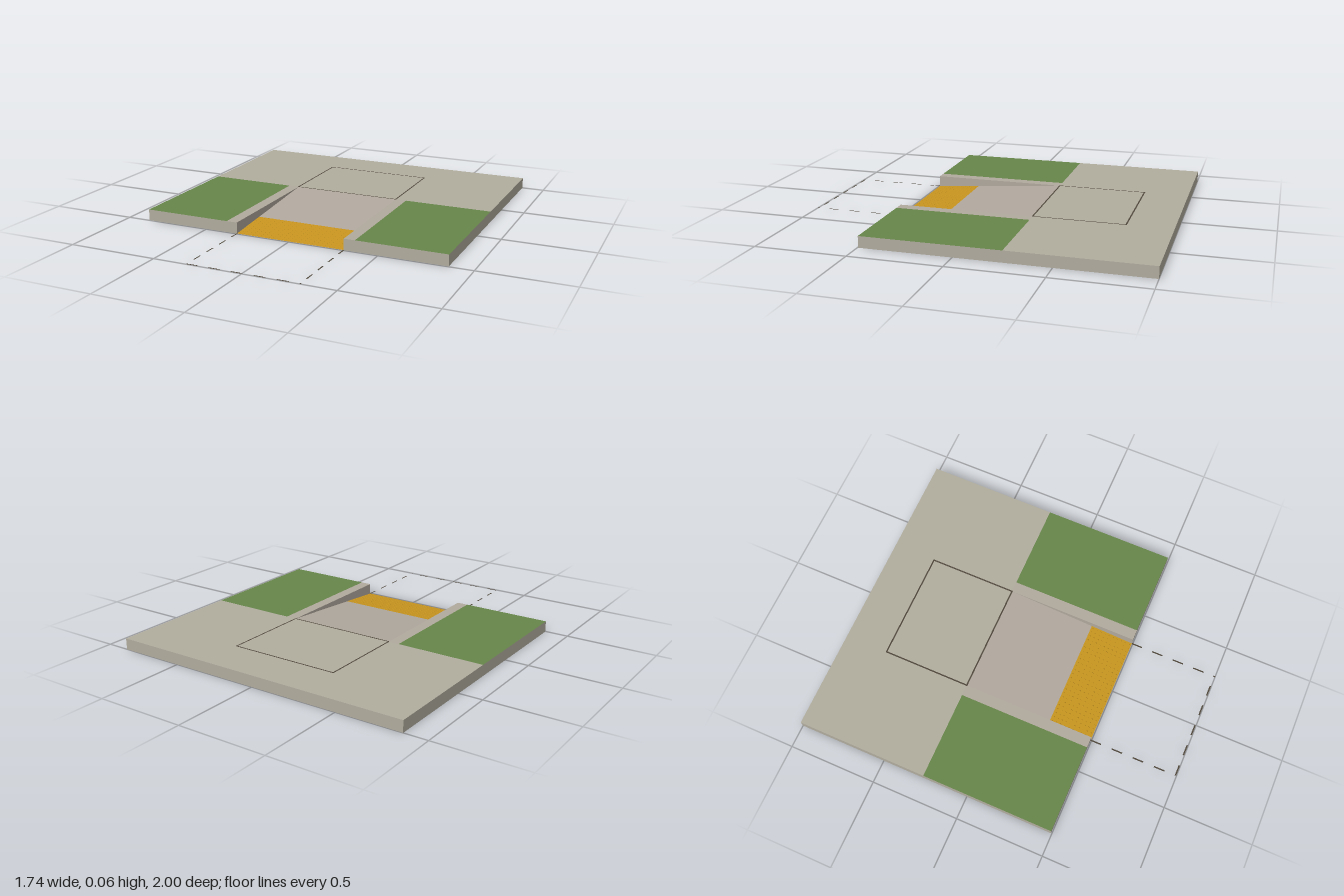
import * as THREE from 'three';
import { mergeGeometries } from 'three/addons/utils/BufferGeometryUtils.js';

const W = 0.87, RAMP = 0.311, CURB = 0.373, H = 0.062;
const BACK = -1, EDGE = -0.254, FRONT = 0.495, PAD = 0.246, END = 0.994;

const paint = (name, color, side = THREE.DoubleSide) => {
  const m = new THREE.MeshStandardMaterial({ color, side });
  m.name = name;
  return m;
};

// Flat polygon from corners in anticlockwise order
function face(...pts) {
  const pos = [];
  for (let i = 1; i < pts.length - 1; i++) pos.push(...pts[0], ...pts[i], ...pts[i + 1]);
  const g = new THREE.BufferGeometry();
  g.setAttribute('position', new THREE.Float32BufferAttribute(pos, 3));
  g.computeVertexNormals();
  return g;
}
// Level rectangle facing up
const level = (x0, x1, z0, z1, y) => face([x0, y, z1], [x1, y, z1], [x1, y, z0], [x0, y, z0]);
// Upright wall from the ground to the slab top, running from a to b
const wall = ([ax, az], [bx, bz]) => face([ax, 0, az], [bx, 0, bz], [bx, H, bz], [ax, H, az]);

export function createModel() {
  const group = new THREE.Group();
  const concrete = paint('concrete', 0xb1ac9e);
  const rampConcrete = paint('ramp concrete', 0xb1a99e);
  const grass = paint('grass', 0x66864a);
  const yellow = paint('tactile yellow', 0xc8951f, THREE.FrontSide);
  const dark = paint('line marking', 0x50483c);

  const add = (name, parts, material) => {
    const mesh = new THREE.Mesh(mergeGeometries(parts), material);
    mesh.name = name;
    group.add(mesh);
  };
  const slope = z => H * (FRONT - z) / (FRONT - EDGE);

  // Upper landing and outer walls
  add('landing', [level(-W, W, BACK, EDGE, H)], concrete);
  add('outerWalls', [
    wall([W, BACK], [-W, BACK]),
    wall([W, FRONT], [W, BACK]),
    wall([-W, BACK], [-W, FRONT]),
    wall([-W, FRONT], [-RAMP, FRONT]),
    wall([RAMP, FRONT], [W, FRONT]),
  ], concrete);

  // Grass plots and curbs beside the ramp
  add('grass', [level(-W, -CURB, EDGE, FRONT, H), level(CURB, W, EDGE, FRONT, H)], grass);
  add('curbTops', [level(-CURB, -RAMP, EDGE, FRONT, H), level(RAMP, CURB, EDGE, FRONT, H)], rampConcrete);
  add('curbSides', [
    face([-RAMP, H, EDGE], [-RAMP, 0, FRONT], [-RAMP, H, FRONT]),
    face([RAMP, H, EDGE], [RAMP, H, FRONT], [RAMP, 0, FRONT]),
  ], rampConcrete);

  // Sloping ramp
  add('ramp', [face([-RAMP, 0, FRONT], [RAMP, 0, FRONT], [RAMP, H, EDGE], [-RAMP, H, EDGE])], rampConcrete);

  // Tactile pad with its grid of truncated domes
  const lift = 0.0008, padY = slope(PAD) + lift;
  add('tactilePad', [face([-RAMP, lift, FRONT], [RAMP, lift, FRONT], [RAMP, padY, PAD], [-RAMP, padY, PAD])], yellow);
  const domes = [], cols = 25, rows = 10;
  for (let i = 0; i < cols; i++) for (let j = 0; j < rows; j++) {
    const x = -RAMP + 2 * RAMP * (i + 0.5) / cols;
    const z = PAD + (FRONT - PAD) * (j + 0.5) / rows;
    domes.push(new THREE.CylinderGeometry(0.0028, 0.005, 0.0026, 10)
      .rotateX(Math.atan2(H, FRONT - EDGE)).translate(x, slope(z) + 0.0018, z));
  }
  add('tactileDomes', domes, yellow);

  // Outline of the turning space on the landing
  const t = 0.004, y = H + 0.0006, top = -0.752;
  add('turningSpaceOutline', [
    level(-RAMP - t, RAMP + t, top - t, top + t, y),
    level(-RAMP - t, RAMP + t, EDGE - t, EDGE + t, y),
    level(-RAMP - t, -RAMP + t, top + t, EDGE - t, y),
    level(RAMP - t, RAMP + t, top + t, EDGE - t, y),
  ], dark);

  // Dashed outline of the clear space on the ground
  const dashes = [], step = 0.1245, dash = 0.062, g = 0.0003;
  for (let k = 0; k < 4; k++) {
    const z = FRONT + k * step;
    for (const x of [-RAMP, RAMP]) dashes.push(level(x - t, x + t, z, z + dash, g));
  }
  for (let k = 0; k < 5; k++) {
    const x = -RAMP + k * step;
    dashes.push(level(x, x + dash, END - t, END + t, g));
  }
  dashes.push(level(RAMP - t, RAMP + t, END - t, 1, g));
  add('clearSpaceDashes', dashes, dark);

  return group;
}
